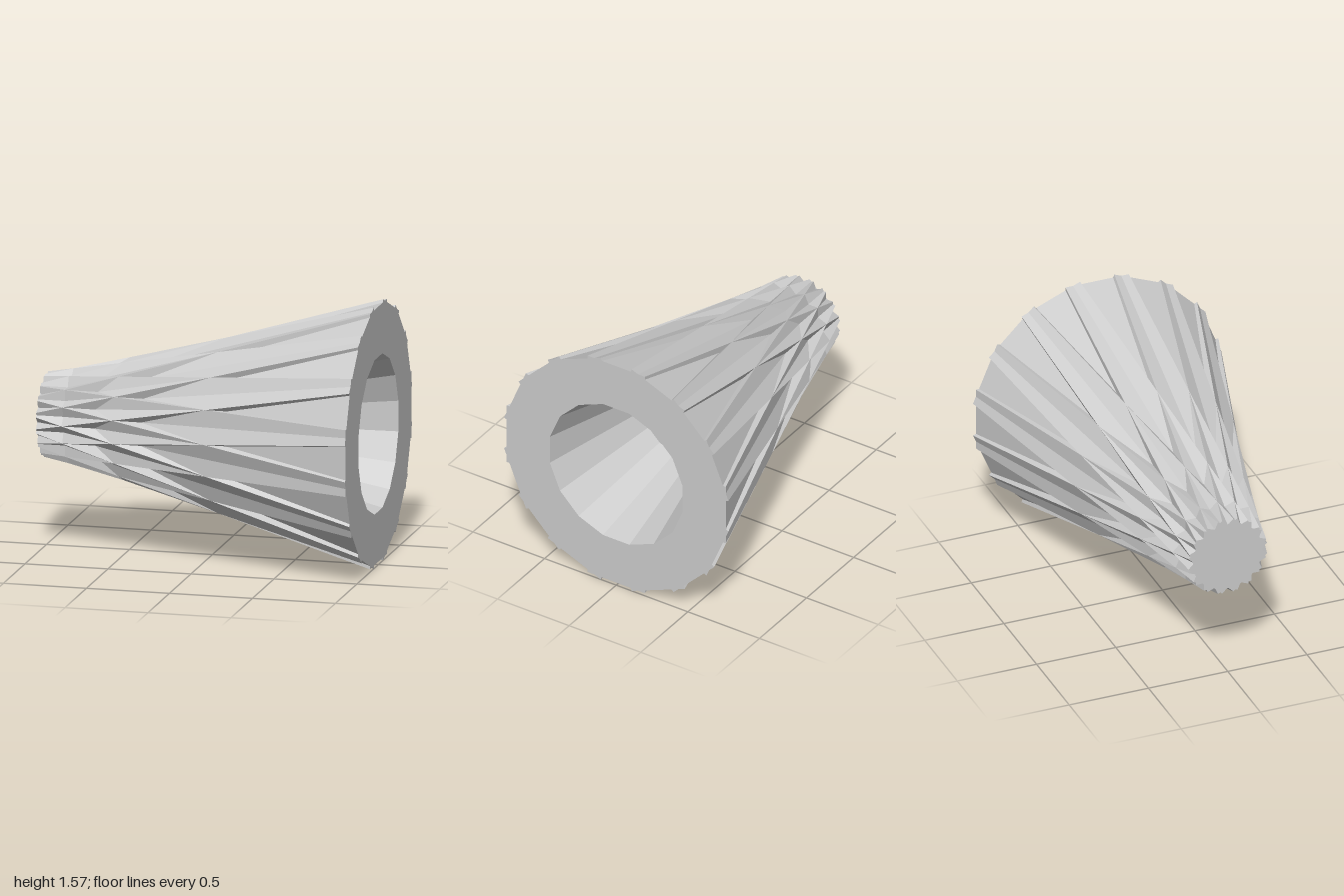
import * as THREE from 'three';

const COUNT = 16;            // blades around the axis
const HALF = 0.2;            // half width of each blade
const BIG = 0.765, SMALL = 0.15;   // blade height at the wide and narrow ends
const RIM = 0.472, FLOOR = 0.283, DEPTH = 0.7;   // tapered recess
const CENTRE_Y = 0.78;

// One blade: constant width, height tapering along x, open towards the axis
function bladeGeometry() {
  const section = (x, root, top) => [
    [x, root, -HALF], [x, top, -HALF], [x, top, HALF], [x, root, HALF],
  ];
  const wide = section(1, 0.68, BIG);
  const narrow = section(-1, 0, SMALL);
  const pos = [];
  const fan = (pts) => {
    for (let i = 1; i < pts.length - 1; i++) pos.push(...pts[0], ...pts[i], ...pts[i + 1]);
  };
  // two sides and the outer face
  for (let i = 0; i < 3; i++) fan([wide[i], narrow[i], narrow[i + 1], wide[i + 1]]);
  // narrow end
  fan([...narrow].reverse());
  // wide end, reaching in to the rim of the recess
  const a = Math.PI / COUNT;
  const y = RIM * Math.cos(a), z = RIM * Math.sin(a);
  fan([[1, y, -z], ...wide, [1, y, z]]);

  const geo = new THREE.BufferGeometry();
  geo.setAttribute('position', new THREE.Float32BufferAttribute(pos, 3));
  geo.computeVertexNormals();
  return geo;
}

export function createModel() {
  const group = new THREE.Group();
  group.name = 'ribbedCone';
  const material = new THREE.MeshStandardMaterial({ color: 0xcccccc, flatShading: true });
  const insideMaterial = material.clone();
  insideMaterial.side = THREE.BackSide;

  const body = new THREE.Group();
  body.name = 'body';
  body.position.y = CENTRE_Y;
  group.add(body);

  // ring of overlapping blades
  const blade = bladeGeometry();
  for (let i = 0; i < COUNT; i++) {
    const mesh = new THREE.Mesh(blade, material);
    mesh.name = 'blade' + (i + 1);
    mesh.rotation.x = (i * 2 * Math.PI) / COUNT;
    body.add(mesh);
  }

  // tapered recess in the wide end
  const start = Math.PI / COUNT;
  const wallGeo = new THREE.CylinderGeometry(RIM, FLOOR, DEPTH, COUNT, 1, true, start);
  wallGeo.rotateZ(-Math.PI / 2);
  const wall = new THREE.Mesh(wallGeo, insideMaterial);
  wall.name = 'recessWall';
  wall.position.x = 1 - DEPTH / 2;
  body.add(wall);

  const floorGeo = new THREE.CircleGeometry(FLOOR, COUNT, start);
  floorGeo.rotateY(Math.PI / 2);
  const floor = new THREE.Mesh(floorGeo, material);
  floor.name = 'recessFloor';
  floor.position.x = 1 - DEPTH;
  body.add(floor);

  return group;
}
